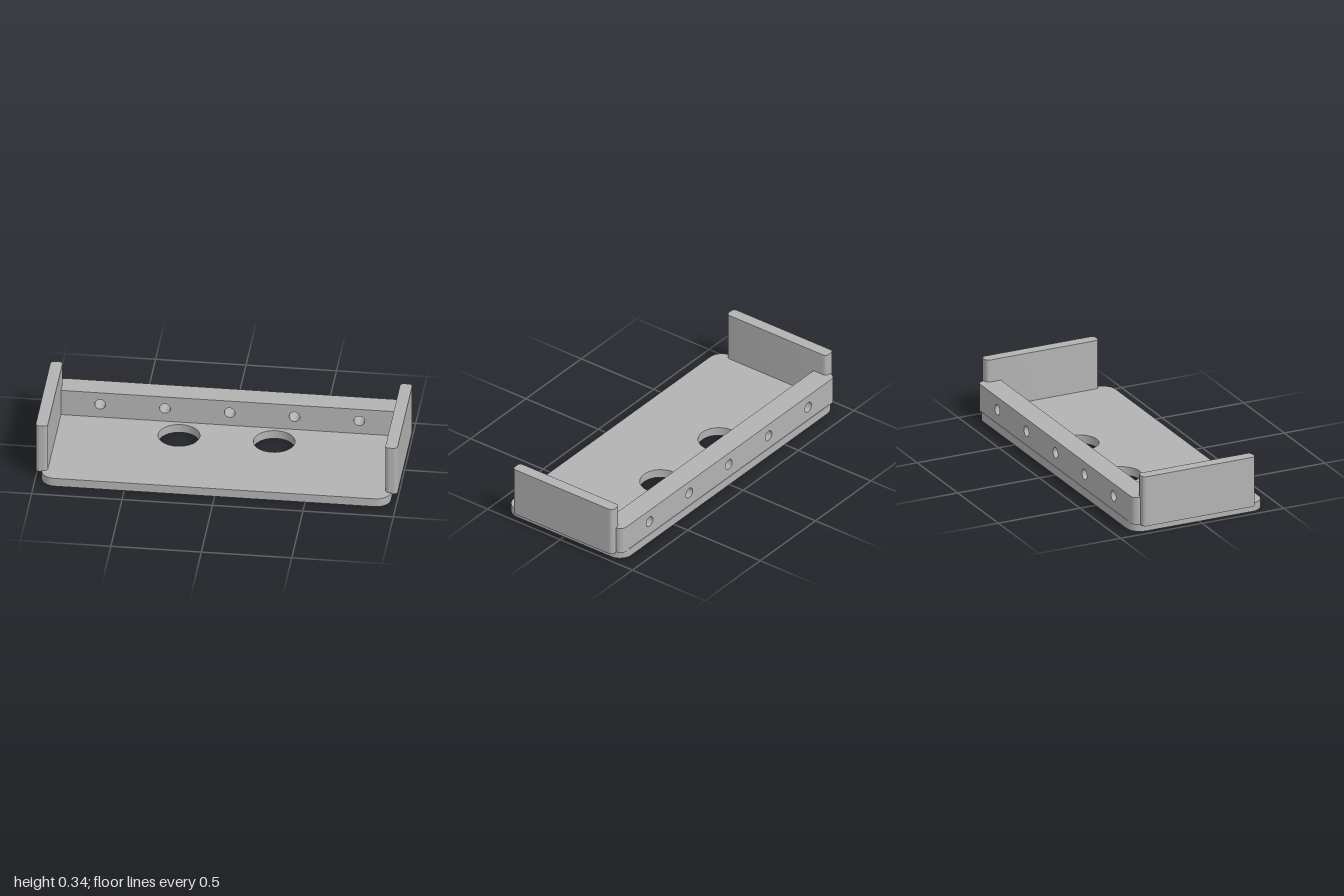
import * as THREE from 'three';
import { toCreasedNormals } from 'three/addons/utils/BufferGeometryUtils.js';

const grey = new THREE.MeshStandardMaterial({ color: 0xb3b3b3 });
grey.name = 'grey plastic';

// Rectangle outline with one radius for the corners at x0 and one for those at x1
function outline(x0, x1, y0, y1, rl, rr) {
  const s = new THREE.Shape();
  s.moveTo(x0 + rl, y0);
  s.lineTo(x1 - rr, y0);
  if (rr) s.absarc(x1 - rr, y0 + rr, rr, -Math.PI / 2, 0);
  s.lineTo(x1, y1 - rr);
  if (rr) s.absarc(x1 - rr, y1 - rr, rr, 0, Math.PI / 2);
  s.lineTo(x0 + rl, y1);
  if (rl) s.absarc(x0 + rl, y1 - rl, rl, Math.PI / 2, Math.PI);
  s.lineTo(x0, y0 + rl);
  if (rl) s.absarc(x0 + rl, y0 + rl, rl, Math.PI, Math.PI * 1.5);
  return s;
}

function addHole(shape, x, y, r) {
  const hole = new THREE.Path();
  hole.absarc(x, y, r, 0, Math.PI * 2, true);
  shape.holes.push(hole);
}

function extrude(name, shape, depth) {
  const raw = new THREE.ExtrudeGeometry(shape, { depth, bevelEnabled: false, curveSegments: 20 });
  const mesh = new THREE.Mesh(toCreasedNormals(raw, 0.6), grey);
  mesh.name = name;
  return mesh;
}

// Stand a plan outline (shape y = -z) upright between two heights
function upright(name, shape, y0, y1) {
  const mesh = extrude(name, shape, y1 - y0);
  mesh.rotation.x = -Math.PI / 2;
  mesh.position.y = y0;
  return mesh;
}

export function createModel() {
  const model = new THREE.Group();
  model.name = 'bracketTray';

  // Base plate with two round openings
  const plate = outline(-0.965, 0.965, -0.405, 0.405, 0.08, 0.08);
  for (const x of [-0.263, 0.263]) addHole(plate, x, 0.132, 0.115);
  model.add(upright('basePlate', plate, 0, 0.05));

  // Back rail: drilled middle and rounded ends
  const rail = new THREE.Group();
  rail.name = 'backRail';
  const face = outline(-0.92, 0.92, 0.045, 0.205, 0, 0);
  for (let i = -2; i <= 2; i++) addHole(face, i * 0.358, 0.131, 0.03);
  const middle = extrude('railMiddle', face, 0.13);
  middle.position.z = -0.402;
  rail.add(middle);
  rail.add(upright('railEndLeft', outline(0.92, 0.965, 0.272, 0.402, 0, 0.04), 0.045, 0.205));
  rail.add(upright('railEndRight', outline(-0.965, -0.92, 0.272, 0.402, 0.04, 0), 0.045, 0.205));
  model.add(rail);

  // Side walls overhanging the plate
  for (const [name, x] of [['leftWall', 0.9665], ['rightWall', -0.9665]]) {
    const wall = outline(x - 0.0335, x + 0.0335, -0.33, 0.36, 0.022, 0.022);
    model.add(upright(name, wall, 0.043, 0.335));
  }
  return model;
}
